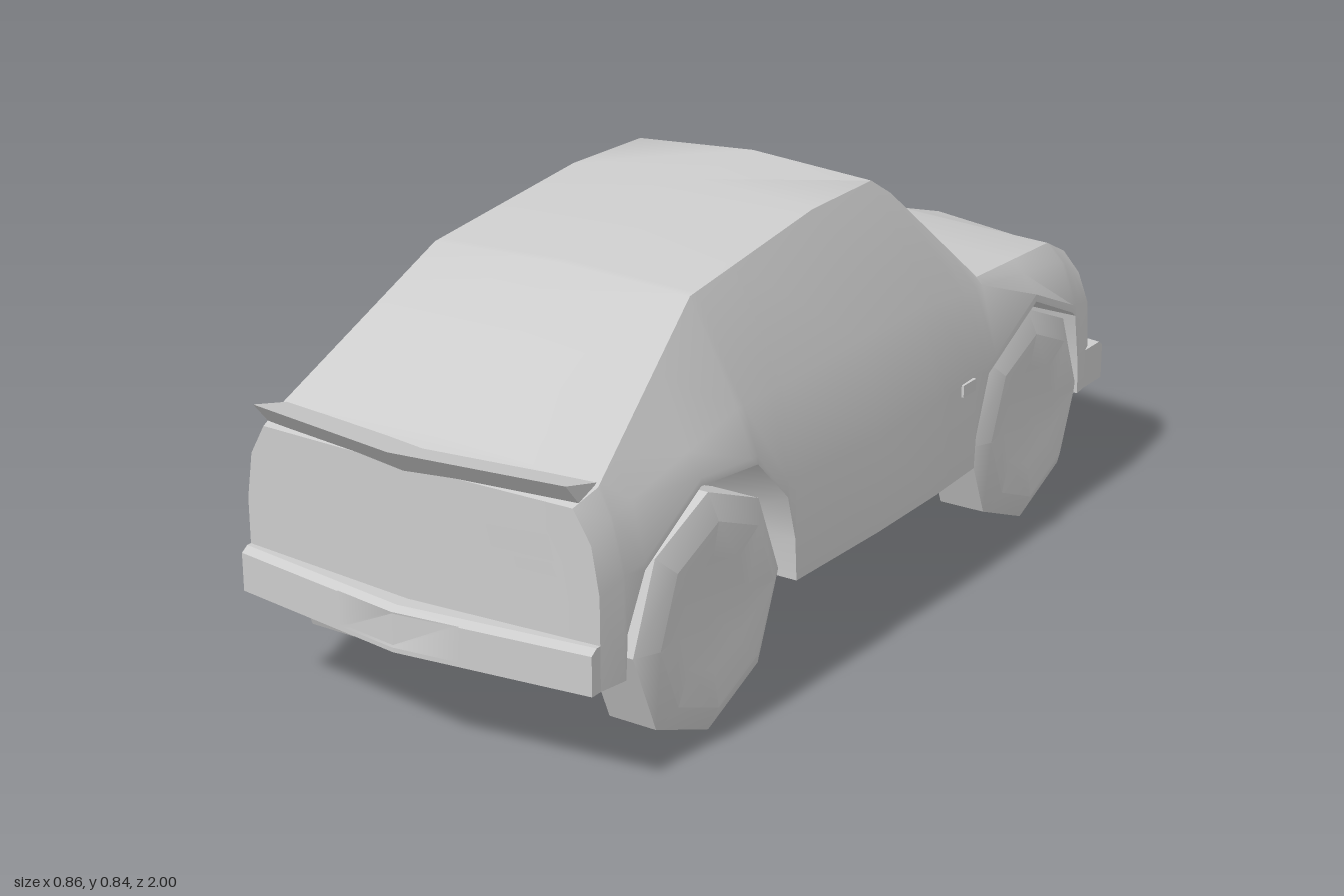
import * as THREE from 'three';
import { toCreasedNormals } from 'three/addons/utils/BufferGeometryUtils.js';

const grey = new THREE.MeshStandardMaterial({ color: 0xcccccc });
const thin = new THREE.MeshStandardMaterial({ color: 0xcccccc, side: THREE.DoubleSide });

function part(group, name, geometry, material = grey) {
  const mesh = new THREE.Mesh(geometry, material);
  mesh.name = name;
  group.add(mesh);
  return mesh;
}

// Skin a list of equal-length rings of [x, y, z] and close both ends with fans.
function loft(rings, crease) {
  const n = rings[0].length, last = rings.length - 1, index = [];
  for (let i = 0; i < last; i++) {
    for (let j = 0; j < n; j++) {
      const k = (j + 1) % n;
      const a = i * n + j, b = i * n + k, c = b + n, d = a + n;
      index.push(a, d, b, d, c, b);
    }
  }
  for (let j = 1; j < n - 1; j++) {
    index.push(0, j, j + 1, last * n, last * n + j + 1, last * n + j);
  }
  const g = new THREE.BufferGeometry();
  g.setAttribute('position', new THREE.Float32BufferAttribute(rings.flat(2), 3));
  g.setIndex(index);
  return toCreasedNormals(g, crease);
}

// Body stations: z, bow, waist x, waist y, belt x, belt y, roof edge x, roof edge y, centre y
const stations = [
  [0.955, 0.03, 0.39, 0.38, 0.375, 0.47, 0.34, 0.53, 0.54],
  [0.87, 0, 0.40, 0.40, 0.375, 0.50, 0.35, 0.55, 0.56],
  [0.50, 0, 0.415, 0.42, 0.385, 0.58, 0.285, 0.77, 0.78],
  [0.08, 0, 0.43, 0.40, 0.385, 0.585, 0.275, 0.82, 0.833],
  [-0.14, 0, 0.43, 0.40, 0.385, 0.585, 0.27, 0.82, 0.838],
  [-0.19, 0, 0.428, 0.40, 0.385, 0.58, 0.285, 0.785, 0.80],
  [-0.39, 0, 0.42, 0.41, 0.385, 0.56, 0.37, 0.575, 0.59],
  [-0.75, 0, 0.405, 0.42, 0.375, 0.51, 0.34, 0.545, 0.56],
  [-0.89, 0.05, 0.395, 0.40, 0.37, 0.46, 0.33, 0.50, 0.52],
  [-0.94, 0.07, 0.385, 0.28, 0.37, 0.30, 0.34, 0.31, 0.32],
];
const floorY = 0.205;

// Wheel arch outlines as [z, y]
const arches = [
  [0.865, floorY], [0.86, 0.29], [0.81, 0.39], [0.65, 0.49], [0.48, 0.475],
  [0.385, 0.38], [0.36, 0.29], [0.355, floorY],
  [-0.305, floorY], [-0.31, 0.27], [-0.36, 0.39], [-0.57, 0.48],
  [-0.78, 0.39], [-0.825, 0.27], [-0.83, floorY],
];

// Linear lookup in a table sorted by falling first column
function sample(table, z) {
  if (z >= table[0][0]) return table[0];
  for (let i = 1; i < table.length; i++) {
    const a = table[i - 1], b = table[i];
    if (z >= b[0]) {
      const t = (a[0] - z) / (a[0] - b[0]);
      return a.map((v, k) => v + (b[k] - v) * t);
    }
  }
  return table[table.length - 1];
}

function bodyRing(z) {
  const [, bow, w, wy, bx, by, rx, ry, cy] = sample(stations, z);
  const arch = sample(arches, z)[1];
  const half = [
    [0, floorY], [0.26, floorY], [0.26, arch], [w, arch],
    [w, Math.max(wy, arch + 0.015)], [bx, by], [rx, ry], [0, cy],
  ];
  const mirrored = half.slice(1, -1).reverse().map(([x, y]) => [-x, y]);
  return [...half, ...mirrored].map(([x, y]) =>
    [x, y, z - Math.sign(z) * bow * Math.abs(x) / 0.39]);
}

// Bar across the car, pointed in plan; profile is [z, y], dir is the end it faces
function bar(profile, halfWidth, bow, dir) {
  const p = dir > 0 ? profile : [...profile].reverse();
  return loft([halfWidth, 0, -halfWidth].map((x) =>
    p.map(([z, y]) => [x, y, dir * (z - (x ? bow : 0))])), 0.15);
}

// Thin panel from outline points, laid on the surface z = depth(x, y)
function panel(points, depth) {
  const g = new THREE.ShapeGeometry(new THREE.Shape(points.map(([x, y]) => new THREE.Vector2(x, y))));
  const p = g.attributes.position;
  for (let i = 0; i < p.count; i++) p.setZ(i, depth(p.getX(i), p.getY(i)));
  g.computeVertexNormals();
  return g;
}

export function createModel() {
  const car = new THREE.Group();
  car.name = 'car';

  // Body shell with wheel wells
  const zs = [...new Set([...stations, ...arches].map((s) => s[0]))].sort((a, b) => b - a);
  part(car, 'body', loft(zs.map(bodyRing), 0.6));

  // Bumpers and tail spoiler
  const bumper = [[0.90, 0.205], [0.90, 0.29], [0.985, 0.29], [1.0, 0.28], [1.0, 0.205]];
  part(car, 'rearBumper', bar(bumper, 0.39, 0.05, 1));
  part(car, 'frontBumper', bar(bumper, 0.395, 0.08, -1));
  part(car, 'spoiler', bar([[0.93, 0.50], [0.89, 0.55], [0.995, 0.577], [0.955, 0.53]], 0.342, 0.045, 1));

  // Number plates, folded around the bumper points
  for (const [name, dir, bow] of [['rearPlate', 1, 0.05], ['frontPlate', -1, 0.08]]) {
    part(car, name, panel(
      [[-0.135, 0.215], [0, 0.215], [0.135, 0.215], [0.135, 0.283], [0, 0.283], [-0.135, 0.283]],
      (x) => dir * (1.002 - bow * Math.abs(x) / 0.39)), thin);
  }

  // Lamps at both ends
  const tail = (x) => 0.961 - 0.03 * Math.abs(x) / 0.39;
  const nose = (x, y) => {
    const t = (0.51 - y) / 0.2;
    return -0.898 - 0.05 * t + (0.05 + 0.02 * t) * Math.abs(x) / 0.39;
  };
  for (const s of [1, -1]) {
    const flip = (pts) => pts.map(([x, y]) => [x * s, y]);
    const side = s > 0 ? 'left' : 'right';
    part(car, side + 'TailLamp', panel(flip([[0.18, 0.43], [0.305, 0.43], [0.295, 0.475], [0.17, 0.47]]), tail), thin);
    part(car, side + 'ReverseLamp', panel(flip([[0.23, 0.402], [0.31, 0.402], [0.30, 0.425], [0.225, 0.422]]), tail), thin);
    part(car, side + 'Headlamp', panel(flip([[0.19, 0.425], [0.335, 0.425], [0.325, 0.485], [0.18, 0.49]]), nose), thin);
    part(car, side + 'Indicator', panel(flip([[0.23, 0.385], [0.335, 0.385], [0.335, 0.415], [0.22, 0.415]]), nose), thin);

    // Side marker behind the front wheel
    const marker = part(car, side + 'SideMarker', new THREE.BoxGeometry(0.012, 0.025, 0.05));
    marker.position.set(0.425 * s, 0.39, -0.265);
  }

  // Eight-sided wheels with a bevelled, dished outer face
  const profile = [[0, 0.25], [0.23, 0.293], [0.23, 0.393], [0.18, 0.416], [0.11, 0.405], [0, 0.405]];
  const wheel = toCreasedNormals(
    new THREE.LatheGeometry(profile.map(([r, y]) => new THREE.Vector2(r, y)), 8), 0.6);
  for (const [name, z] of [['rear', 0.605], ['front', -0.57]]) {
    for (const s of [1, -1]) {
      const mesh = part(car, name + (s > 0 ? 'Left' : 'Right') + 'Wheel', wheel);
      mesh.rotation.z = -s * Math.PI / 2;
      mesh.position.set(0, 0.23, z);
    }
  }
  return car;
}
